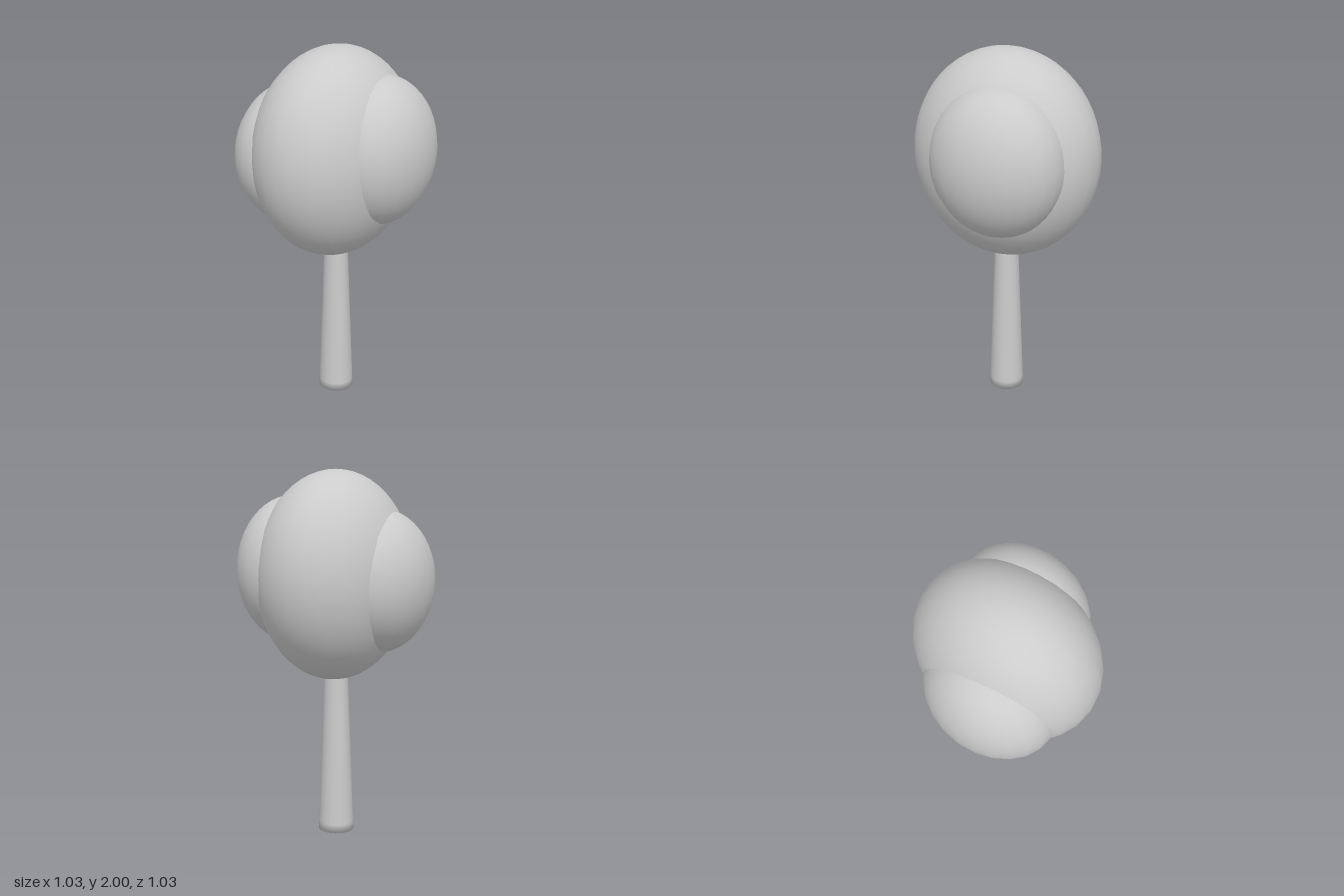
import * as THREE from 'three';

const material = new THREE.MeshStandardMaterial({ color: 0xcccccc });

// Smooth ellipsoid clump of leaves
function foliage(name, center, radii, segments) {
  const geometry = new THREE.SphereGeometry(1, segments, segments);
  geometry.scale(...radii); // scaling the geometry keeps its normals correct
  const mesh = new THREE.Mesh(geometry, material);
  mesh.name = name;
  mesh.position.set(...center);
  return mesh;
}

export function createModel() {
  const tree = new THREE.Group();
  tree.name = 'tree';

  // Tapered trunk with a softly shaded foot, running up into the crown
  const profile = [[0, 0], [0.098, 0], [0.096, 0.045], [0.066, 0.87], [0.06, 1.05], [0, 1.05]]
    .map(([r, y]) => new THREE.Vector2(r, y));
  const trunk = new THREE.Mesh(new THREE.LatheGeometry(profile, 28), material);
  trunk.name = 'trunk';
  tree.add(trunk);

  // Main crown and the two smaller clumps on its sides
  tree.add(
    foliage('mainCrown', [0, 1.433, 0], [0.402, 0.567, 0.516], 28),
    foliage('leftClump', [0.23, 1.465, -0.06], [0.286, 0.4, 0.365], 24),
    foliage('rightClump', [-0.23, 1.407, 0.063], [0.286, 0.386, 0.367], 24),
  );
  return tree;
}
